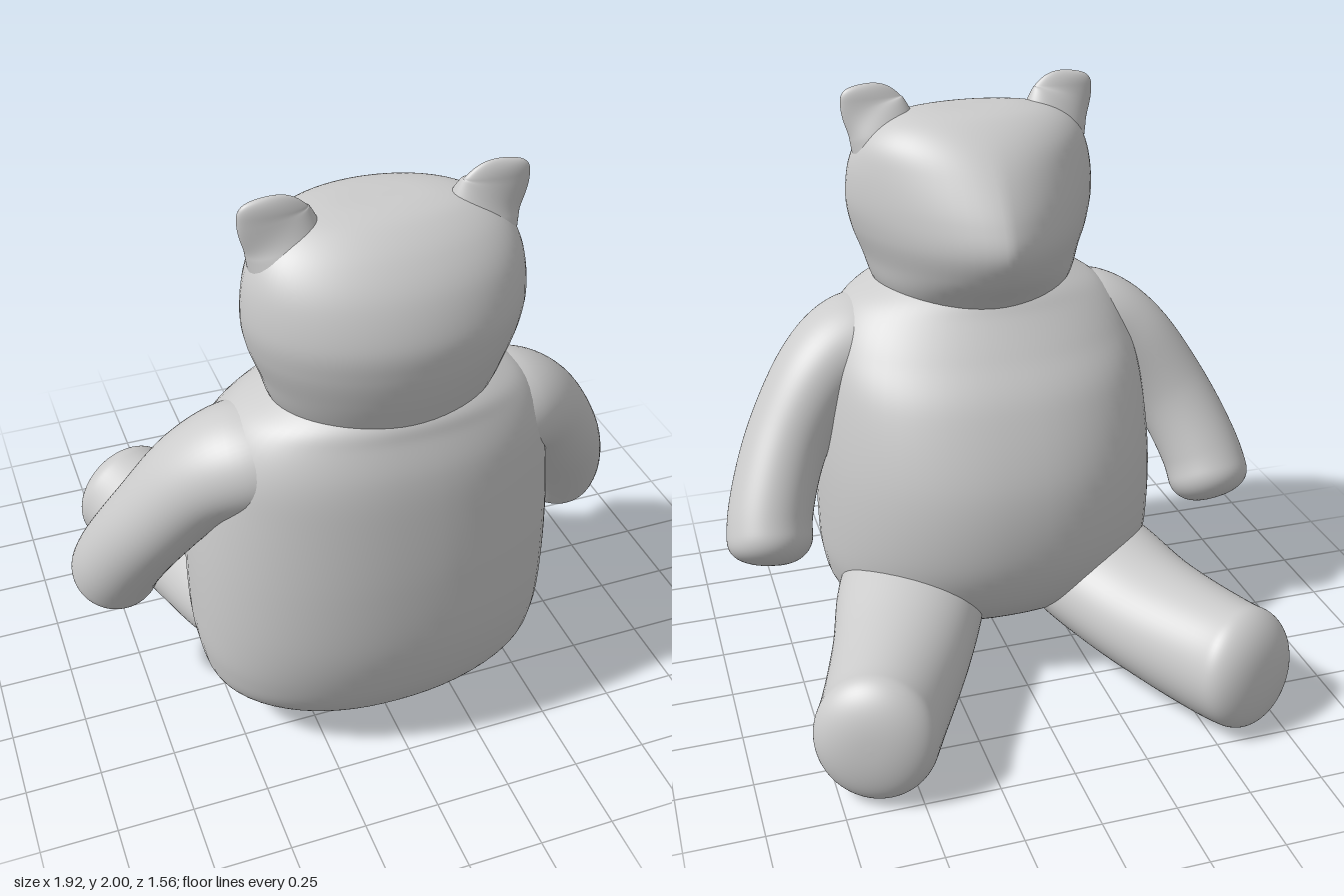
import * as THREE from 'three';

const material = new THREE.MeshStandardMaterial({ color: 0xcccccc, side: THREE.DoubleSide });
const SIDES = 64;

// Skin a stack of rings, each given by point(row, angle)
function skin(name, rows, point) {
  const pos = [], index = [];
  for (let i = 0; i <= rows; i++) {
    for (let j = 0; j < SIDES; j++) pos.push(...point(i / rows, (j / SIDES) * Math.PI * 2));
  }
  for (let i = 0; i < rows; i++) {
    for (let j = 0; j < SIDES; j++) {
      const a = i * SIDES + j, b = i * SIDES + ((j + 1) % SIDES);
      index.push(a, b, a + SIDES, b, b + SIDES, a + SIDES);
    }
  }
  const geometry = new THREE.BufferGeometry();
  geometry.setAttribute('position', new THREE.Float32BufferAttribute(pos, 3));
  geometry.setIndex(index);
  geometry.computeVertexNormals();
  const mesh = new THREE.Mesh(geometry, material);
  mesh.name = name;
  return mesh;
}

const spline = (pts) => new THREE.CatmullRomCurve3(pts.map((p) => new THREE.Vector3(...p)), false, 'catmullrom', 0.5);
const power = (v, n) => Math.sign(v) * Math.pow(Math.abs(v), 2 / n);

// Upright loft; rows are [y, half width, front z, widest z, back z, front roundness]
function loft(name, rows, backRoundness) {
  const low = spline(rows.map((r) => r.slice(0, 3)));
  const high = spline(rows.map((r) => r.slice(3, 6)));
  return skin(name, (rows.length - 1) * 8, (t, angle) => {
    const { x: y, y: w, z: front } = low.getPoint(t);
    const { x: mid, y: back, z: roundness } = high.getPoint(t);
    const c = Math.cos(angle), s = Math.sin(angle);
    const n = s > 0 ? roundness : backRoundness;
    const z = s > 0 ? mid + (front - mid) * power(s, n) : mid - (back - mid) * power(s, n);
    return [Math.max(w, 0) * power(c, n), y, z];
  });
}

// Tapered limb with a rounded end; rows are [x, y, z, radius across, radius along ref]
function limb(name, rows, mirror, ref, cap, roundness) {
  const path = spline(rows.map(([x, y, z]) => [x * mirror, y, z]));
  const radii = spline(rows.map((r) => [r[3], r[4], 0]));
  const length = path.getLength();
  return skin(name, 56, (k, angle) => {
    const t = Math.sin((k * Math.PI) / 2);
    const centre = path.getPoint(t), tangent = path.getTangent(t);
    const across = tangent.clone().cross(ref).normalize();
    const along = tangent.clone().cross(across);
    const d = Math.min(1, ((1 - t) * length) / cap);
    const f = Math.pow(Math.max(0, 1 - Math.pow(1 - d, roundness)), 1 / roundness);
    const r = radii.getPoint(t);
    return centre
      .addScaledVector(across, Math.cos(angle) * r.x * f)
      .addScaledVector(along, Math.sin(angle) * r.y * f)
      .toArray();
  });
}

export function createModel() {
  const model = new THREE.Group();
  model.name = 'sittingBear';
  const Y = new THREE.Vector3(0, 1, 0), Z = new THREE.Vector3(0, 0, 1);

  // Pot-bellied body, closed below and inside the neck
  model.add(loft('body', [
    [0.07, 0, 0.4, 0.4, 0.4, 2.2],
    [0.075, 0.2, 0.2, 0.4, 0.52, 2.2],
    [0.11, 0.4, 0.05, 0.38, 0.62, 2.2],
    [0.2, 0.55, -0.09, 0.36, 0.69, 2.2],
    [0.32, 0.595, -0.2, 0.34, 0.74, 2.2],
    [0.5, 0.605, -0.255, 0.33, 0.775, 2.2],
    [0.75, 0.6, -0.235, 0.33, 0.78, 2.2],
    [1.0, 0.575, -0.13, 0.35, 0.765, 2.2],
    [1.15, 0.54, -0.02, 0.38, 0.745, 2.1],
    [1.26, 0.47, 0.07, 0.4, 0.71, 2],
    [1.33, 0.36, 0.13, 0.42, 0.68, 2],
    [1.4, 0.2, 0.25, 0.42, 0.58, 2],
  ], 2.2));

  // Head drawn out to a blunt snout
  model.add(loft('head', [
    [1.24, 0.3, 0.15, 0.42, 0.66, 2],
    [1.33, 0.355, 0.06, 0.42, 0.695, 1.8],
    [1.42, 0.385, -0.03, 0.43, 0.725, 1.6],
    [1.52, 0.42, -0.075, 0.43, 0.745, 1.5],
    [1.62, 0.435, -0.045, 0.43, 0.745, 1.5],
    [1.74, 0.42, 0.035, 0.43, 0.7, 1.6],
    [1.83, 0.375, 0.12, 0.42, 0.63, 1.8],
    [1.89, 0.29, 0.21, 0.41, 0.55, 2],
    [1.915, 0.17, 0.29, 0.4, 0.48, 2],
    [1.92, 0, 0.4, 0.4, 0.4, 2],
  ], 2));

  for (const [side, m] of [['left', 1], ['right', -1]]) {
    // Arms hang out and forward
    model.add(limb(side + 'Arm', [
      [0.28, 1.11, 0.43, 0.15, 0.2],
      [0.43, 1.11, 0.4, 0.17, 0.2],
      [0.57, 1.03, 0.35, 0.155, 0.175],
      [0.71, 0.83, 0.27, 0.145, 0.155],
      [0.8, 0.62, 0.16, 0.145, 0.15],
      [0.825, 0.455, 0.065, 0.15, 0.15],
    ], m, Z, 0.12, 2.4));

    // Legs stretch forward and splay
    model.add(limb(side + 'Leg', [
      [0.28, 0.28, 0.25, 0.24, 0.19],
      [0.35, 0.26, 0.02, 0.26, 0.2],
      [0.45, 0.225, -0.25, 0.235, 0.2],
      [0.585, 0.212, -0.56, 0.205, 0.21],
      [0.665, 0.235, -0.74, 0.2, 0.205],
    ], m, Y, 0.16, 2.4));

    // Ears thin towards the tip
    model.add(limb(side + 'Ear', [
      [0.27, 1.72, 0.43, 0.13, 0.14],
      [0.305, 1.85, 0.43, 0.115, 0.075],
      [0.335, 1.93, 0.44, 0.105, 0.035],
      [0.335, 2.0, 0.445, 0.095, 0.022],
    ], m, Z, 0.07, 2));

    // Small raised eyes
    const eye = new THREE.Mesh(new THREE.SphereGeometry(0.025, 20, 12), material);
    eye.name = side + 'Eye';
    eye.scale.set(1, 0.6, 0.5);
    eye.position.set(m * 0.19, 1.71, 0.11);
    eye.rotation.y = m * -0.7;
    model.add(eye);
  }
  return model;
}
